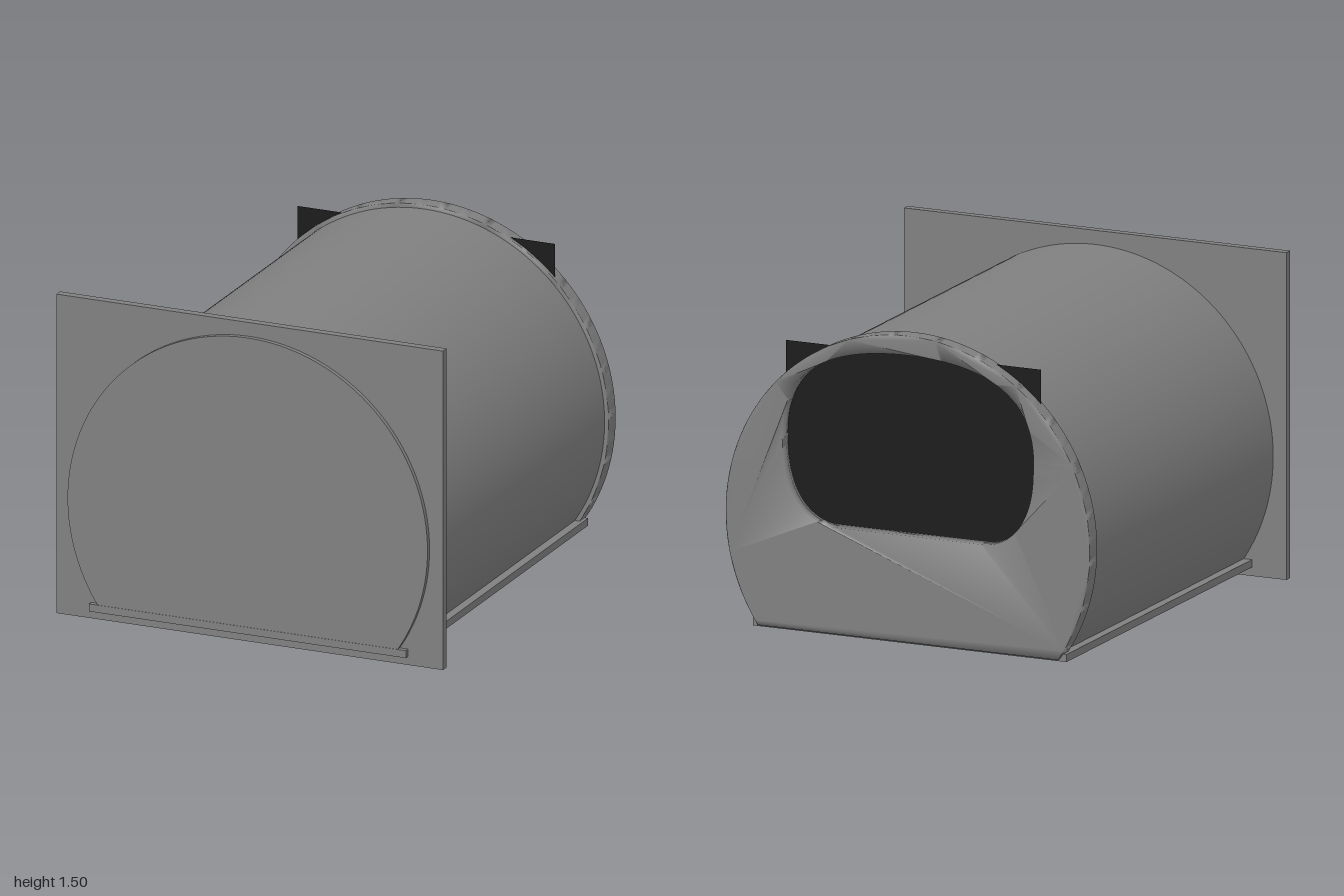
import * as THREE from 'three';
import { mergeVertices, toCreasedNormals } from 'three/addons/utils/BufferGeometryUtils.js';

const CENTRE_Y = 0.56;

// Circle cut off flat at the bottom
function domeShape(radius, bottomY) {
  const a = Math.asin((bottomY - CENTRE_Y) / radius);
  const shape = new THREE.Shape();
  shape.absarc(0, CENTRE_Y, radius, a, Math.PI - a, false);
  shape.closePath();
  return shape;
}

function extrude(shape, z0, z1) {
  const geo = new THREE.ExtrudeGeometry(shape, { depth: z1 - z0, bevelEnabled: false, curveSegments: 72 });
  return geo.translate(0, 0, z0);
}

// Arched opening with rounded lower corners
function openingPath() {
  const p = new THREE.Path();
  p.moveTo(-0.36, 0.54);
  p.lineTo(0.36, 0.54);
  p.bezierCurveTo(0.52, 0.54, 0.62, 0.68, 0.62, 0.9);
  p.bezierCurveTo(0.64, 1.2, 0.45, 1.37, 0, 1.37);
  p.bezierCurveTo(-0.45, 1.37, -0.64, 1.2, -0.62, 0.9);
  p.bezierCurveTo(-0.62, 0.68, -0.52, 0.54, -0.36, 0.54);
  return p;
}

export function createModel() {
  const group = new THREE.Group();
  const grey = new THREE.MeshStandardMaterial({ color: 0x808080 });
  grey.name = 'grey';
  const black = new THREE.MeshStandardMaterial({ color: 0x1a1a1a, side: THREE.DoubleSide });
  black.name = 'black';

  const add = (name, geo, mat, x = 0, y = 0, z = 0) => {
    const mesh = new THREE.Mesh(geo, mat);
    mesh.name = name;
    mesh.position.set(x, y, z);
    group.add(mesh);
  };

  // Barrel, running through the front plate
  add('barrel', toCreasedNormals(extrude(domeShape(0.88, 0.07), -0.93, 0.998), 0.5), grey);

  // Square front plate and floor slab
  add('frontPlate', new THREE.BoxGeometry(1.89, 1.505, 0.04), grey, 0, 0.7525, 0.955);
  add('floorSlab', new THREE.BoxGeometry(1.55, 0.035, 1.98), grey, 0, 0.0575, 0.01);

  // Rear cap with its opening, softly shaded over the edges
  const capShape = domeShape(0.9, 0.05);
  capShape.holes.push(openingPath());
  let cap = extrude(capShape, -1, -0.925);
  cap.deleteAttribute('normal');
  cap.deleteAttribute('uv');
  cap = mergeVertices(cap, 1e-4);
  cap.computeVertexNormals();
  add('rearCap', cap, grey);

  // Dark panel behind the opening, its upper corners reaching past the cap
  add('darkPanel', new THREE.PlaneGeometry(1.26, 0.88), black, 0, 0.92, -0.942);

  return group;
}
